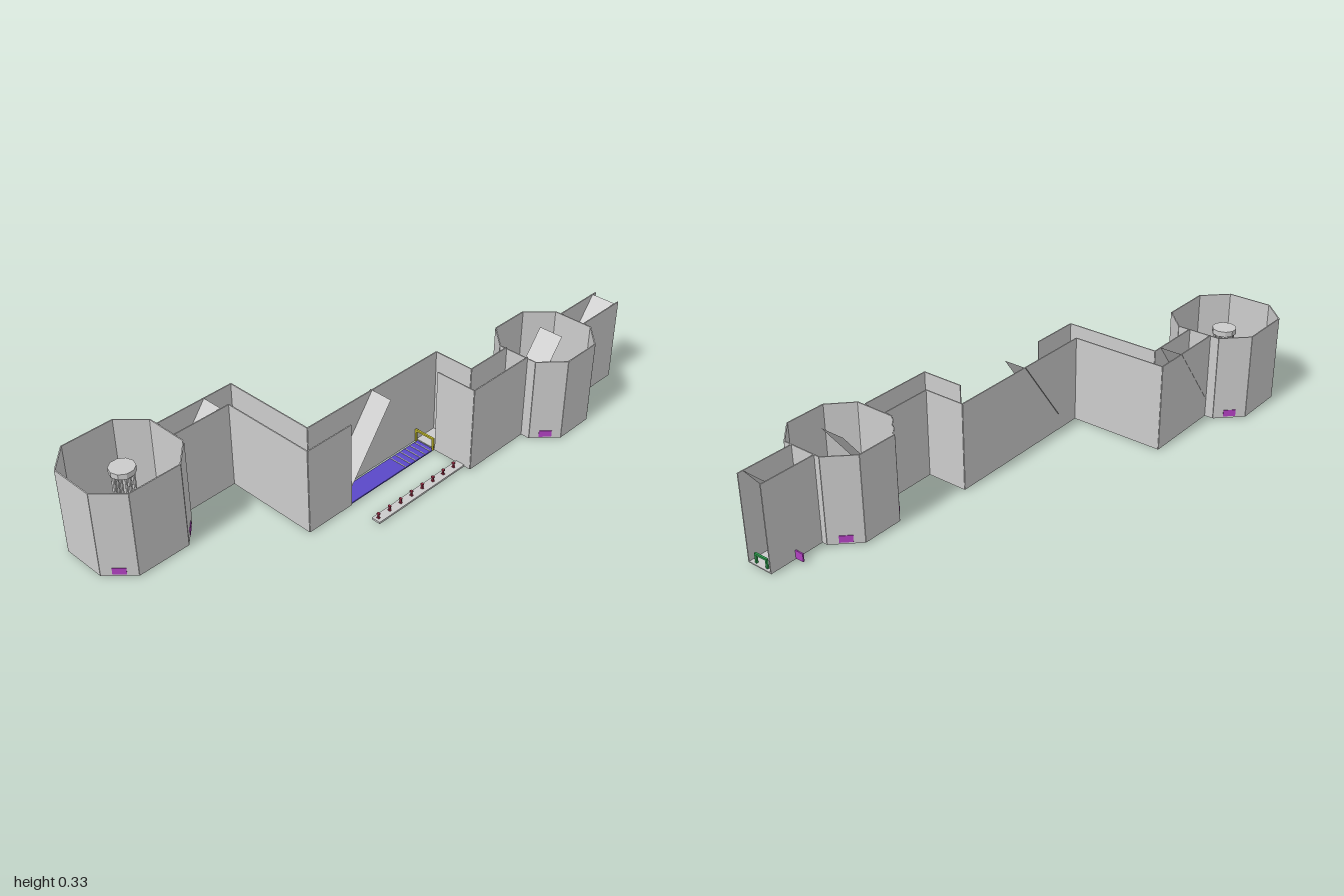
import * as THREE from 'three';

const T = 0.004;          // wall thickness
const Y0 = 0.005;         // floor level
const DOOR = 0.07;        // doorway height

const mat = (color) => new THREE.MeshStandardMaterial({ color, side: THREE.DoubleSide, flatShading: true });
const grey = mat(0xcccccc), dark = mat(0x555555), blue = mat(0x5a48c8), red = mat(0xa03048),
  purple = mat(0xb040c0), yellow = mat(0xc8c030), green = mat(0x30a050);

function add(parent, name, geometry, material, x = 0, y = 0, z = 0) {
  const m = new THREE.Mesh(geometry, material);
  m.name = name;
  m.position.set(x, y, z);
  parent.add(m);
  return m;
}

// Upright wall between two plan points [x, z]
function wall(parent, a, b, top, bottom = Y0, name = 'wall') {
  const dx = b[0] - a[0], dz = b[1] - a[1];
  const m = add(parent, name, new THREE.BoxGeometry(Math.hypot(dx, dz), top - bottom, T), grey,
    (a[0] + b[0]) / 2, (top + bottom) / 2, (a[1] + b[1]) / 2);
  m.rotation.y = -Math.atan2(dz, dx);
}

function walls(parent, points, top) {
  for (let i = 1; i < points.length; i++) wall(parent, points[i - 1], points[i], top);
}

function floor(parent, x0, x1, z0, z1) {
  add(parent, 'floor', new THREE.BoxGeometry(x1 - x0, T, z1 - z0), grey, (x0 + x1) / 2, Y0 + T / 2, (z0 + z1) / 2);
}

// Sloping panel rising from door height towards the back
function slope(parent, x0, x1, zLow, zHigh, top) {
  const g = new THREE.PlaneGeometry(x1 - x0, 1);
  const p = g.attributes.position;
  for (let i = 0; i < p.count; i++) {
    const up = p.getY(i) > 0;
    p.setXYZ(i, p.getX(i) + (x0 + x1) / 2, up ? top : DOOR, up ? zHigh : zLow);
  }
  g.computeVertexNormals();
  add(parent, 'slopingPanel', g, grey);
}

// Door frame across the passage
function frame(parent, name, material, x, z, w, h) {
  const g = new THREE.Group();
  g.name = name;
  const t = 0.007;
  for (const s of [-1, 1]) add(g, 'post', new THREE.BoxGeometry(t, h, t), material, s * (w - t) / 2, h / 2, 0);
  add(g, 'lintel', new THREE.BoxGeometry(w, t, t), material, 0, h - t / 2, 0);
  g.position.set(x, Y0, z);
  parent.add(g);
}

// Small standing marker
function marker(parent, x, z, y = Y0 + T) {
  const g = new THREE.Group();
  g.name = 'marker';
  add(g, 'base', new THREE.BoxGeometry(0.01, 0.003, 0.008), red, 0, 0.0015, 0);
  add(g, 'stem', new THREE.BoxGeometry(0.005, 0.016, 0.005), red, 0, 0.009, 0);
  add(g, 'head', new THREE.BoxGeometry(0.01, 0.005, 0.008), red, 0, 0.0175, 0);
  g.position.set(x, y, z);
  parent.add(g);
}

// Eight-sided room; doors lists { z, x0, x1 } openings in its front or back wall
function room(name, xs, zs, top, doors) {
  const g = new THREE.Group();
  g.name = name;
  const [x0, x1, x2, x3] = xs, [z0, z1, z2, z3] = zs;
  const pts = [[x1, z0], [x2, z0], [x3, z1], [x3, z2], [x2, z3], [x1, z3], [x0, z2], [x0, z1]];
  pts.forEach((a, i) => {
    const b = pts[(i + 1) % 8];
    const door = a[1] === b[1] && doors.find((d) => d.z === a[1]);
    if (door) {
      wall(g, [x1, a[1]], [door.x0, a[1]], top);
      wall(g, [door.x1, a[1]], [x2, a[1]], top);
      wall(g, [door.x0, a[1]], [door.x1, a[1]], top, DOOR, 'wallAboveDoor');
    } else wall(g, a, b, top);
    // Coloured hatch and markers on the diagonal walls
    if (i % 2) {
      const mx = (a[0] + b[0]) / 2, mz = (a[1] + b[1]) / 2;
      const h = add(g, 'hatch', new THREE.BoxGeometry(0.045, 0.025, 0.008), purple, mx, 0.024, mz);
      h.rotation.y = -Math.atan2(b[1] - a[1], b[0] - a[0]);
      const cx = (x0 + x3) / 2, cz = (z0 + z3) / 2;
      marker(g, mx + (cx - mx) * 0.12, mz + (cz - mz) * 0.12);
      marker(g, a[0] + (cx - a[0]) * 0.08, a[1] + (cz - a[1]) * 0.08);
    }
  });
  const shape = new THREE.Shape(pts.map(([x, z]) => new THREE.Vector2(x, -z)));
  const fg = new THREE.ExtrudeGeometry(shape, { depth: T, bevelEnabled: false }).rotateX(-Math.PI / 2);
  add(g, 'floor', fg, grey, 0, Y0, 0);
  return g;
}

function crates(parent, list) {
  for (const [x, z] of list) add(parent, 'crate', new THREE.BoxGeometry(0.024, 0.024, 0.024), dark, x, Y0 + 0.014, z);
}

export function createModel() {
  const model = new THREE.Group();
  model.name = 'courtyardMaze';

  // Front room with a columned tower in the middle
  const front = room('frontRoom', [-0.42, -0.335, -0.17, -0.085], [0.637, 0.72, 0.915, 0.998], 0.326,
    [{ z: 0.637, x0: -0.3, x1: -0.215 }]);
  crates(front, [[-0.215, 0.683], [-0.352, 0.773], [-0.15, 0.858], [-0.305, 0.915]]);
  const tower = new THREE.Group();
  tower.name = 'tower';
  add(tower, 'cap', new THREE.CylinderGeometry(0.044, 0.044, 0.02, 10), grey, 0, 0.27, 0);
  for (let i = 0; i < 8; i++) {
    const a = i * Math.PI / 4;
    add(tower, 'column', new THREE.CylinderGeometry(0.005, 0.005, 0.255, 6), grey,
      0.034 * Math.cos(a), 0.1325, 0.034 * Math.sin(a));
  }
  tower.position.set(-0.255, 0, 0.815);
  front.add(tower);
  model.add(front);

  // Back room
  const back = room('backRoom', [0.103, 0.188, 0.34, 0.417], [-0.788, -0.706, -0.553, -0.473], 0.322,
    [{ z: -0.473, x0: 0.215, x1: 0.305 }, { z: -0.788, x0: 0.21, x1: 0.308 }]);
  crates(back, [[0.2, -0.703], [0.347, -0.645], [0.215, -0.567], [0.3, -0.56]]);
  slope(back, 0.212, 0.307, -0.473, -0.665, 0.322);
  model.add(back);

  // Winding passage between the rooms, open along the pool
  const passage = new THREE.Group();
  passage.name = 'passage';
  const top = 0.328;
  walls(passage, [[-0.3, 0.637], [-0.3, 0.328], [0.06, 0.328], [0.06, -0.285], [0.215, -0.285], [0.215, -0.473]], top);
  walls(passage, [[-0.215, 0.637], [-0.215, 0.412], [0.147, 0.412], [0.147, 0.222]], top);
  walls(passage, [[0.147, -0.193], [0.305, -0.193], [0.305, -0.473]], top);
  floor(passage, -0.3, -0.215, 0.412, 0.637);
  for (const [x0, x1] of [[-0.3, -0.16], [-0.13, -0.082], [-0.055, -0.01], [0.02, 0.147]]) {
    floor(passage, x0, x1, 0.328, 0.412);
  }
  floor(passage, 0.06, 0.147, 0.222, 0.328);
  floor(passage, 0.06, 0.305, -0.285, -0.193);
  floor(passage, 0.215, 0.305, -0.473, -0.285);
  slope(passage, -0.303, -0.213, 0.637, 0.445, top);
  slope(passage, 0.053, 0.145, 0.222, 0.035, top);
  frame(passage, 'yellowFrame', yellow, -0.257, 0.643, 0.095, 0.05);
  frame(passage, 'yellowFrame', yellow, 0.103, -0.187, 0.085, 0.05);
  marker(passage, -0.193, 0.37);
  marker(passage, 0.253, -0.305);
  marker(passage, 0.262, -0.228);
  model.add(passage);

  // Pool with crossing strips
  add(model, 'pool', new THREE.BoxGeometry(0.074, 0.005, 0.413), blue, 0.104, 0.0025, 0.0145);
  for (let i = 0; i < 6; i++) {
    add(model, 'poolStrip', new THREE.BoxGeometry(0.074, 0.002, 0.003), grey, 0.104, 0.0055, -0.175 + i * 0.025);
  }

  // Narrow walkway with a row of markers
  add(model, 'walkway', new THREE.BoxGeometry(0.035, 0.007, 0.42), grey, 0.264, 0.0085, 0.02);
  for (let i = 0; i < 8; i++) marker(model, 0.263, -0.155 + i * 0.053, 0.012);

  // Rear exit passage, open at its end
  const exit = new THREE.Group();
  exit.name = 'exitPassage';
  for (const x of [0.21, 0.308]) wall(exit, [x, -0.788], [x, -1], 0.322);
  floor(exit, 0.21, 0.308, -1, -0.788);
  slope(exit, 0.212, 0.306, -0.788, -0.98, 0.322);
  frame(exit, 'greenFrame', green, 0.259, -0.99, 0.055, 0.04);
  add(exit, 'sidePanel', new THREE.BoxGeometry(0.035, 0.03, 0.005), purple, 0.193, 0.022, -0.898);
  model.add(exit);

  return model;
}
